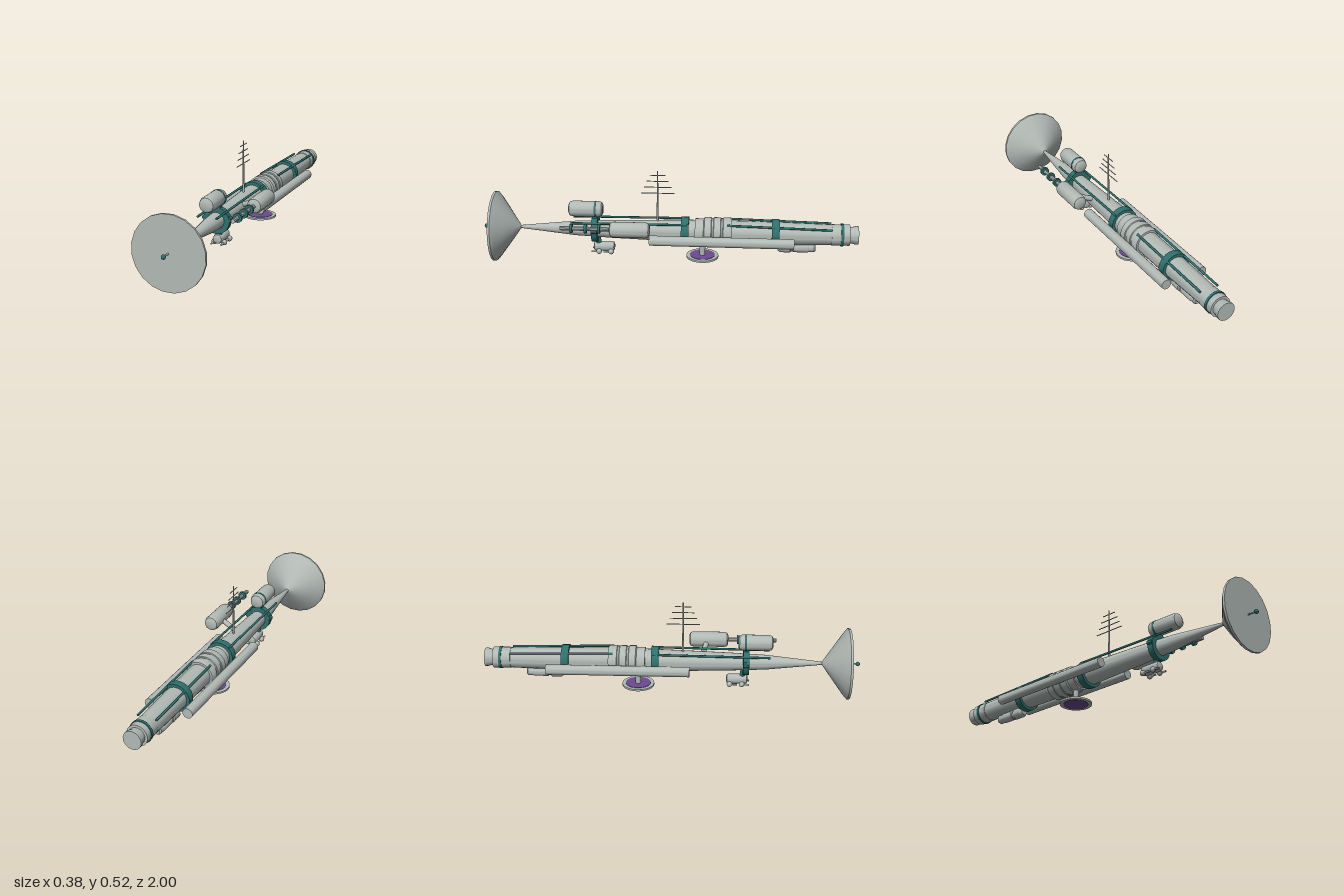
import * as THREE from 'three';
import { toCreasedNormals } from 'three/addons/utils/BufferGeometryUtils.js';

const grey = new THREE.MeshStandardMaterial({ color: 0xb2bab6 });
grey.name = 'hull grey';
const teal = new THREE.MeshStandardMaterial({ color: 0x2f706c });
teal.name = 'teal trim';
const purple = new THREE.MeshStandardMaterial({ color: 0x6c4a90 });
purple.name = 'purple panel';

const AX = -0.006, AY = 0.19; // long axis of the craft

export function createModel() {
  const model = new THREE.Group();
  model.name = 'deepSpaceProbe';

  const add = (name, geometry, material, x = 0, y = 0, z = 0) => {
    const mesh = new THREE.Mesh(geometry, material);
    mesh.name = name;
    mesh.position.set(x, y, z);
    model.add(mesh);
    return mesh;
  };

  // Solid of revolution about z; points are [radius, z] from back to front
  const turned = (name, points, material, x = AX, y = AY, segments = 20) => {
    const profile = points.map(([r, z]) => new THREE.Vector2(r, z));
    const geometry = new THREE.LatheGeometry(profile, segments, Math.PI / segments);
    geometry.rotateX(Math.PI / 2);
    return add(name, toCreasedNormals(geometry, 0.6), material, x, y);
  };

  // Closed cylinder along z between two z values
  const barrel = (name, r, z0, z1, material, x, y, segments) =>
    turned(name, [[0, z0], [r, z0], [r, z1], [0, z1]], material, x, y, segments);

  // Round rod between two points
  const rod = (name, a, b, r, material, r2 = r) => {
    const from = new THREE.Vector3(...a), to = new THREE.Vector3(...b);
    const dir = to.clone().sub(from);
    const mesh = add(name, new THREE.CylinderGeometry(r2, r, dir.length(), 10), material);
    mesh.position.copy(from).add(to).multiplyScalar(0.5);
    mesh.quaternion.setFromUnitVectors(new THREE.Vector3(0, 1, 0), dir.normalize());
    return mesh;
  };

  // Tank with rounded ends
  const tank = (name, r, z0, z1, x, y, c = r * 0.5) =>
    turned(name, [
      [0, z0], [r * 0.6, z0], [r * 0.88, z0 + c * 0.3], [r, z0 + c],
      [r, z1 - c], [r * 0.88, z1 - c * 0.3], [r * 0.6, z1], [0, z1],
    ], grey, x, y);

  // Main hull, tapering to the nose
  turned('hull', [
    [0, -0.9], [0.05, -0.9], [0.055, -0.84], [0.06, -0.6], [0.062, -0.3], [0.06, -0.1],
    [0.054, 0.1], [0.048, 0.3], [0.039, 0.5], [0.008, 0.8], [0, 0.8],
  ], grey);

  // Stepped waist module
  turned('waistModule', [
    [0.05, -0.335], [0.073, -0.335], [0.077, -0.325], [0.077, -0.29], [0.073, -0.287],
    [0.073, -0.278], [0.077, -0.275], [0.077, -0.24], [0.073, -0.237], [0.073, -0.228],
    [0.077, -0.225], [0.077, -0.19], [0.069, -0.185], [0.069, -0.14], [0.05, -0.14],
  ], grey);

  // Tail collar and engine bell
  barrel('tailCollar', 0.056, -0.955, -0.86, grey);
  barrel('tailRing', 0.06, -0.922, -0.908, teal);
  turned('engineBell', [
    [0, -1], [0.049, -1], [0.049, -0.985], [0.043, -0.965], [0.043, -0.95], [0, -0.95],
  ], grey);

  // Clamp bands
  for (const [z, r, h] of [[0.395, 0.07, 0.016], [-0.087, 0.076, 0.02], [-0.565, 0.076, 0.02]]) {
    barrel('clampBand', r, z - h, z + h, teal);
  }
  for (const s of [-1, 1]) barrel('clampLug', 0.016, 0.38, 0.41, teal, AX + s * 0.062, AY + 0.01, 8);

  // Conduits and long side tanks, mirrored
  for (const s of [-1, 1]) {
    const x = AX + s * 0.05;
    rod('frontConduit', [x, 0.237, 0.52], [x, 0.243, -0.1], 0.006, teal);
    rod('rearConduit', [x, 0.246, -0.31], [x, 0.234, -0.86], 0.006, teal);
    barrel('sideTank', 0.027, -0.66, 0.097, grey, AX + s * 0.104, 0.172, 16);
    for (const z of [-0.087, -0.565]) {
      rod('sideTankStrut', [AX, 0.18, z], [AX + s * 0.1, 0.172, z], 0.012, teal);
    }
  }

  // Main dish with feed
  turned('mainDish', [
    [0.006, 0.795], [0.1, 0.861], [0.165, 0.908], [0.189, 0.928], [0.189, 0.94], [0, 0.94],
  ], grey);
  rod('dishFeedRod', [AX, AY, 0.93], [AX, AY, 0.98], 0.004, grey);
  add('dishFeed', new THREE.SphereGeometry(0.012, 8, 8), teal, AX, AY, 0.986);

  // Dorsal pod over the front clamp
  tank('dorsalPod', 0.042, 0.352, 0.535, AX, 0.302);
  barrel('dorsalPodRing', 0.0435, 0.386, 0.396, teal, AX, 0.302);
  add('dorsalPylon', new THREE.BoxGeometry(0.04, 0.06, 0.03), teal, AX, 0.25, 0.395);

  // Outrigger pod with its ringed boom
  tank('outriggerPod', 0.041, 0.09, 0.3, 0.148, 0.25);
  rod('outriggerStrut', [0.02, 0.205, 0.16], [0.13, 0.245, 0.185], 0.014, grey);
  barrel('outriggerBoom', 0.011, 0.29, 0.56, grey, 0.148, 0.25, 10);
  for (const z of [0.355, 0.425, 0.5]) {
    barrel('boomRing', 0.024, z - 0.007, z + 0.007, teal, 0.148, 0.25, 12);
  }

  // Mast antenna
  rod('antennaMast', [AX, 0.22, 0.06], [AX, 0.522, 0.06], 0.006, grey, 0.003);
  [0.088, 0.072, 0.058, 0.042].forEach((half, i) => {
    const y = 0.4 + i * 0.033;
    rod('antennaCrossbar', [AX, y, 0.06 - half], [AX, y, 0.06 + half], 0.0025, grey);
  });

  // Ventral disc panel on its pylon
  rod('discPylon', [AX, 0.05, -0.18], [AX, 0.14, -0.18], 0.015, grey);
  add('discRim', new THREE.CylinderGeometry(0.086, 0.086, 0.01, 24), grey, AX, 0.049, -0.18);
  add('discPanel', new THREE.CylinderGeometry(0.067, 0.067, 0.014, 24), purple, AX, 0.049, -0.18);

  // Ventral thruster pack
  tank('thrusterPack', 0.026, 0.292, 0.405, AX, 0.09);
  rod('thrusterPylon', [AX, 0.09, 0.375], [AX, 0.15, 0.385], 0.016, teal);
  for (const s of [-1, 1]) {
    for (const z of [0.31, 0.375]) {
      const x = AX + s * 0.027;
      add('thrusterBall', new THREE.SphereGeometry(0.015, 12, 8), grey, x, 0.069, z);
      rod('thrusterNozzle', [x, 0.069, z], [x, 0.067, z + 0.04], 0.005, grey);
    }
  }

  // Ventral rear tank in three steps
  turned('ventralTank', [
    [0, -0.78], [0.018, -0.78], [0.024, -0.772], [0.024, -0.745], [0.027, -0.74],
    [0.027, -0.665], [0.023, -0.66], [0.023, -0.65], [0.029, -0.645], [0.029, -0.595],
    [0.02, -0.58], [0, -0.58],
  ], grey, AX, 0.113);
  rod('ventralTankPylon', [AX, 0.11, -0.63], [AX, 0.16, -0.63], 0.014, grey);

  return model;
}
